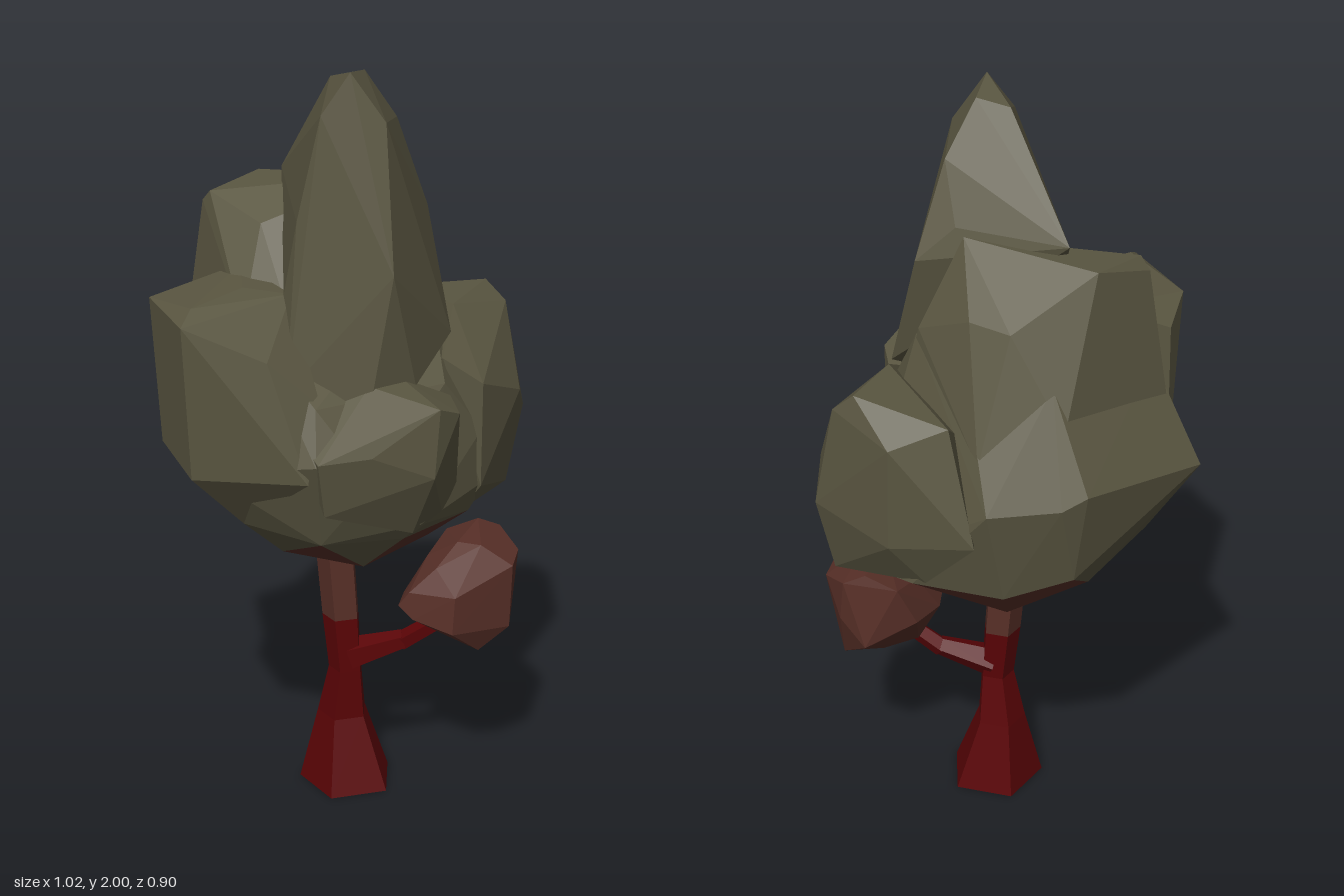
import * as THREE from 'three';
import { ConvexGeometry } from 'three/addons/geometries/ConvexGeometry.js';

const mat = (name, color) => Object.assign(new THREE.MeshStandardMaterial({ color }), { name });

export function createModel() {
  const leaf = mat('olive leaves', 0x5a5641);
  const brown = mat('reddish brown', 0x572f27);
  const red = mat('dark red bark', 0x590305);
  const tree = new THREE.Group();
  tree.name = 'tree';

  const add = (name, geometry, material) => {
    const mesh = new THREE.Mesh(geometry, material);
    mesh.name = name;
    tree.add(mesh);
    return mesh;
  };
  const hull = (pts) => new ConvexGeometry(pts.map((p) => new THREE.Vector3(...p)));
  const faceted = (g) => {
    const flat = g.toNonIndexed();
    flat.computeVertexNormals();
    return flat;
  };

  // Faceted foliage lump; its low faces take the brown underside colour, which climbs towards the back left
  const lump = (name, pts) => {
    const g = hull(pts);
    const p = g.attributes.position;
    const c = new THREE.Vector3(), v = new THREE.Vector3();
    for (let i = 0; i < p.count; i += 3) {
      c.set(0, 0, 0);
      for (let k = 0; k < 3; k++) c.addScaledVector(v.fromBufferAttribute(p, i + k), 1 / 3);
      const edge = 0.795 + 0.09 * c.x + 0.13 * Math.max(0, -c.z);
      g.addGroup(i, 3, c.y < edge ? 1 : 0);
    }
    add(name, g, [leaf, brown]);
  };

  // Faceted limb through five-cornered level rings of [x, y, z, radius], listed upwards
  const limb = (name, rings, material, n = 5) => {
    const pos = [], idx = [];
    rings.forEach(([x, y, z, r]) => {
      for (let i = 0; i < n; i++) {
        const a = (i / n) * Math.PI * 2 + 0.35;
        pos.push(x + r * Math.sin(a), y, z + r * Math.cos(a));
      }
    });
    for (let k = 0; k < rings.length - 1; k++) {
      for (let i = 0; i < n; i++) {
        const a = k * n + i, b = k * n + ((i + 1) % n);
        idx.push(a, b, b + n, a, b + n, a + n);
      }
    }
    const top = (rings.length - 1) * n;
    for (let i = 1; i < n - 1; i++) idx.push(0, i + 1, i, top, top + i, top + i + 1);
    const g = new THREE.BufferGeometry();
    g.setAttribute('position', new THREE.Float32BufferAttribute(pos, 3));
    g.setIndex(idx);
    add(name, faceted(g), material);
  };

  // Tapered five-sided strut between two points
  const strut = (name, from, to, r0, r1, material) => {
    const a = new THREE.Vector3(...from), b = new THREE.Vector3(...to);
    const dir = b.clone().sub(a);
    const mesh = add(name, faceted(new THREE.CylinderGeometry(r1, r0, dir.length(), 5)), material);
    mesh.position.copy(a).add(b).multiplyScalar(0.5);
    mesh.quaternion.setFromUnitVectors(new THREE.Vector3(0, 1, 0), dir.normalize());
  };

  // Trunk and side branch
  limb('lowerTrunk', [[0.015, 0, 0.022, 0.131], [0.01, 0.2, 0.005, 0.069], [0.01, 0.34, 0.02, 0.047], [0.005, 0.49, 0.005, 0.052]], red);
  limb('upperTrunk', [[0.005, 0.49, 0.005, 0.052], [-0.01, 0.76, -0.01, 0.055]], brown);
  strut('branchBase', [0.02, 0.375, 0.025], [0.135, 0.425, 0.11], 0.046, 0.027, red);
  strut('branchTip', [0.13, 0.418, 0.105], [0.2, 0.49, 0.175], 0.027, 0.024, red);

  // Small clump at the branch tip
  add('branchClump', hull([
    [0.07, 0.57, 0.18], [0.09, 0.61, 0.2], [0.09, 0.54, 0.22], [0.16, 0.67, 0.22], [0.16, 0.62, 0.31],
    [0.15, 0.52, 0.315], [0.24, 0.72, 0.2], [0.36, 0.73, 0.12], [0.41, 0.71, 0.15], [0.4, 0.68, 0.25],
    [0.34, 0.67, 0.31], [0.33, 0.5, 0.315], [0.41, 0.59, 0.17], [0.37, 0.44, 0.22], [0.27, 0.43, 0.18],
    [0.19, 0.46, 0.13], [0.25, 0.44, 0.29], [0.25, 0.58, 0.045], [0.3, 0.69, 0.06], [0.14, 0.56, 0.1],
    [0.38, 0.52, 0.1], [0.2, 0.66, 0.12], [0.28, 0.72, 0.25],
  ]), brown);

  // Main crown, from the underside up
  lump('crownBody', [
    [0.08, 0.68, -0.05], [-0.2, 0.74, 0.05], [-0.05, 0.72, 0.2], [0.2, 0.72, 0.12], [0.15, 0.72, -0.22], [-0.12, 0.73, -0.22],
    [-0.33, 0.86, 0.08], [-0.2, 0.83, 0.24], [0, 0.83, 0.31], [0.02, 0.88, 0.355], [0.25, 0.82, 0.23], [0.42, 0.82, 0.08],
    [0.37, 0.84, -0.12], [0.22, 0.83, -0.3], [0, 0.83, -0.36], [-0.25, 0.86, -0.28],
    [-0.44, 1.02, 0.08], [-0.4, 1.02, -0.14], [-0.3, 1.1, -0.425], [-0.17, 1.1, -0.43], [0.08, 1.15, -0.455],
    [0.14, 1.12, -0.43], [0.285, 1.1, -0.32], [0.08, 0.89, -0.405], [0.27, 1.05, 0.255], [0.26, 0.9, 0.26],
    [-0.25, 1.07, 0.3], [-0.12, 1.02, 0.36], [-0.25, 1.36, -0.28], [0.08, 1.39, -0.31], [0.21, 1.4, -0.13],
    [0.23, 1.43, 0.05], [0.15, 1.2, 0.26], [-0.22, 1.2, 0.25], [-0.29, 1.36, 0.08],
  ]);

  // Upper back shoulder
  lump('backShoulder', [
    [-0.23, 1.63, -0.25], [-0.235, 1.6, -0.28], [-0.06, 1.65, -0.3], [0.14, 1.51, -0.22], [0.19, 1.52, -0.12],
    [0.12, 1.68, 0], [0.23, 1.45, 0.04], [-0.18, 1.58, -0.08], [-0.26, 1.27, -0.33], [0.08, 1.28, -0.36],
    [0.26, 1.2, -0.25], [0.25, 1.2, 0.1], [-0.28, 1.36, 0], [-0.2, 1.3, 0.15],
  ]);

  // Tall leaning top
  lump('crownTop', [
    [-0.08, 2, 0.18], [0.01, 1.98, 0.1], [-0.05, 1.96, 0.04], [-0.15, 1.9, 0.16], [0.11, 1.85, 0.09], [-0.01, 1.88, 0.23],
    [-0.2, 1.64, 0.13], [0.13, 1.7, 0.02], [-0.05, 1.68, -0.2], [-0.03, 1.52, 0.3], [0.21, 1.61, 0.08],
    [0.22, 1.3, 0.18], [0.05, 1.22, 0.28], [-0.1, 1.1, 0.28], [-0.25, 1.22, 0.16], [-0.22, 1.45, 0.1],
  ]);

  // Front bulge
  lump('frontBulge', [
    [0.01, 1.22, 0.45], [0.08, 1.19, 0.43], [0, 1.04, 0.445], [0.16, 1.17, 0.27], [0.17, 0.93, 0.29], [-0.14, 1.1, 0.38],
    [-0.25, 1.08, 0.31], [-0.22, 0.93, 0.29], [0, 0.86, 0.35], [0.1, 0.89, 0.33], [-0.08, 1.24, 0.27],
    [0.02, 1.24, 0.26], [-0.25, 1.13, 0.2], [0.05, 1, 0.1],
  ]);

  // Side bulges
  lump('rightBulge', [
    [-0.51, 1.42, 0.11], [-0.46, 1.45, 0.07], [-0.465, 1.42, -0.14], [-0.29, 1.46, 0.02], [-0.36, 1.38, -0.22],
    [-0.485, 1.02, 0.1], [-0.46, 1.05, -0.1], [-0.33, 0.86, 0.08], [-0.32, 1.32, 0.19], [-0.26, 1.02, 0.28],
    [-0.34, 1, -0.25], [-0.2, 1.2, 0.24], [-0.1, 1.2, -0.1], [-0.2, 1.46, -0.15], [-0.2, 1.45, 0.1],
  ]);
  lump('leftBulge', [
    [0.45, 1.35, 0], [0.28, 1.34, 0.1], [0.48, 1.3, 0.05], [0.44, 1.25, -0.13], [0.31, 1.3, -0.2], [0.51, 1.02, 0.1],
    [0.46, 0.81, 0.1], [0.44, 0.97, -0.12], [0.44, 1.1, 0.18], [0.26, 1.18, 0.27], [0.26, 0.9, 0.27],
    [0.25, 0.81, 0.2], [0.35, 0.85, -0.15], [0.3, 1, -0.29], [0.1, 1.1, 0], [0.17, 1.25, 0.22],
  ]);

  return tree;
}
